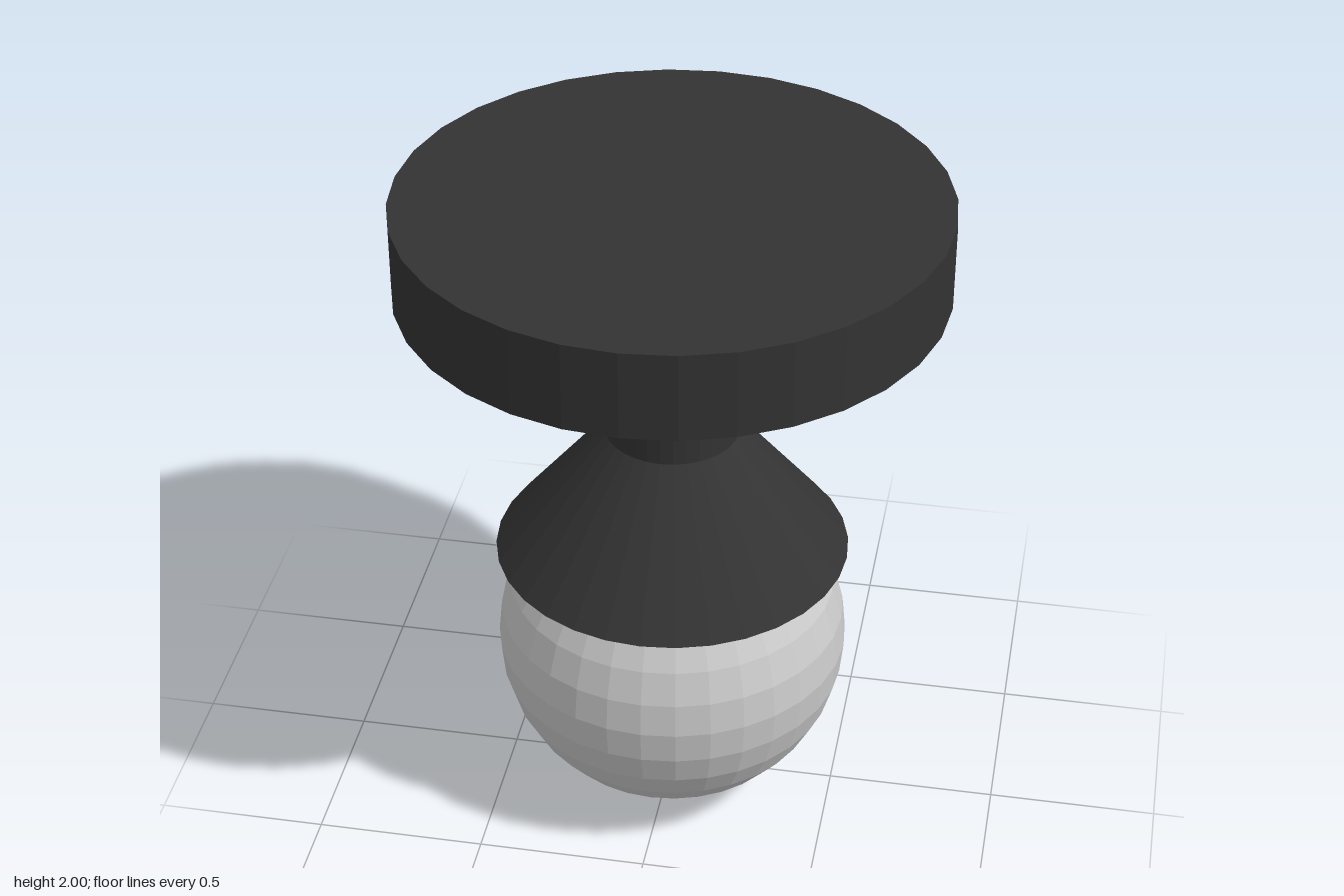
import * as THREE from 'three';

const SIDES = 32;

export function createModel() {
  const group = new THREE.Group();
  const dark = new THREE.MeshStandardMaterial({ color: 0x333333, flatShading: true });
  const pale = new THREE.MeshStandardMaterial({ color: 0xcccccc, flatShading: true });

  const add = (name, geometry, material, y) => {
    const mesh = new THREE.Mesh(geometry, material);
    mesh.name = name;
    mesh.position.y = y;
    group.add(mesh);
  };

  // Round part between two heights
  const addRound = (name, bottomY, topY, bottomR, topR) =>
    add(name, new THREE.CylinderGeometry(topR, bottomR, topY - bottomY, SIDES), dark, (bottomY + topY) / 2);

  // Ceiling mount, stem and flared shade
  addRound('ceilingPlate', 1.74, 2, 0.787, 0.787);
  addRound('stem', 1.255, 1.74, 0.196, 0.196);
  addRound('shade', 0.85, 1.255, 0.523, 0.196);

  // Globe bulb, partly inside the shade
  add('bulb', new THREE.SphereGeometry(0.524, SIDES, 16), pale, 0.524);

  return group;
}
